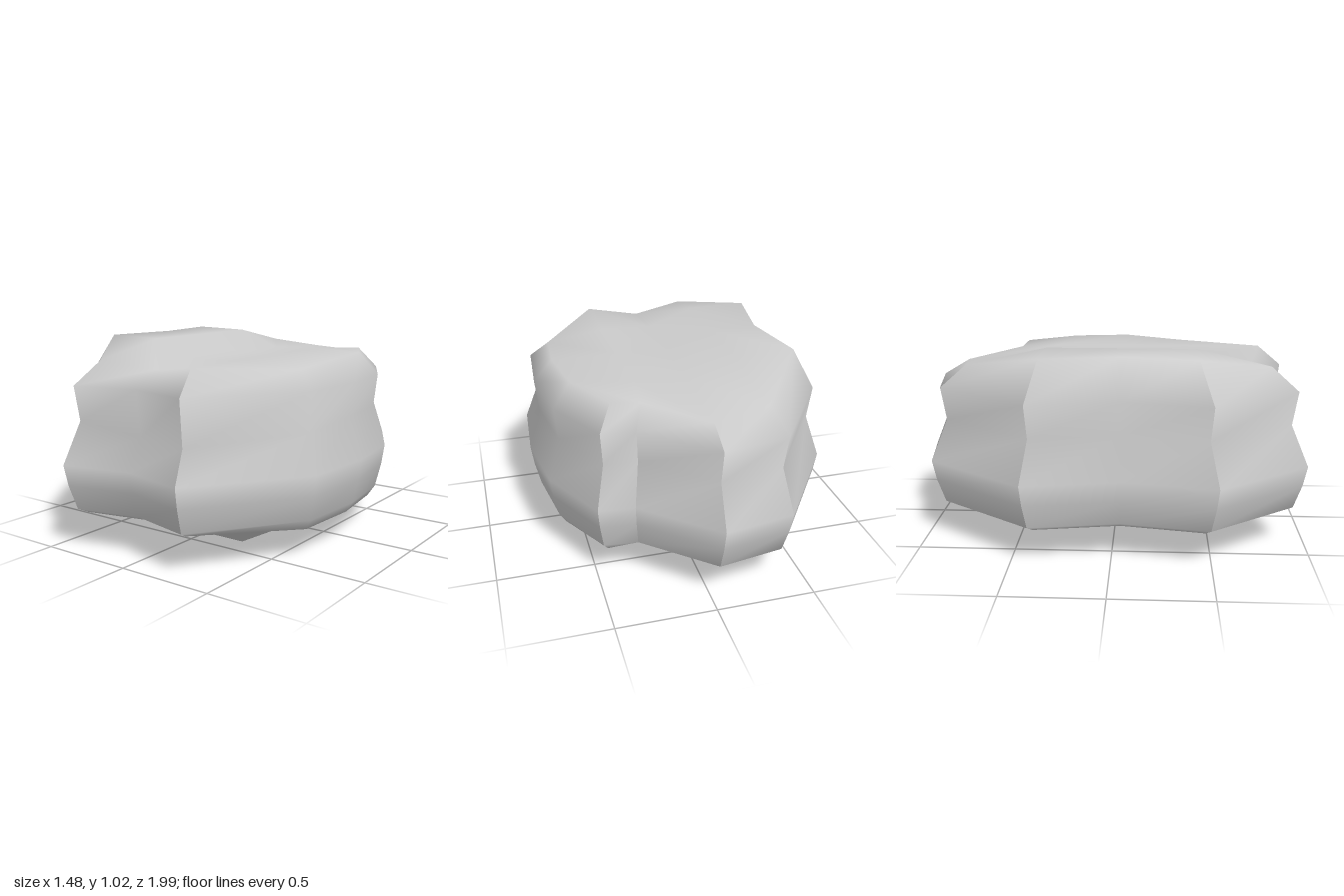
import * as THREE from 'three';

// Outline columns, clockwise from the back: x, z, waist height, rim height, underside drop, sharp corner
const COLUMNS = [
  [-0.03, -1.0, 0.65, 0.90, 0, 1],
  [0.32, -0.69, 0.65, 0.92, 0, 1],
  [0.50, -0.67, 0.65, 0.93, 0.02, 1],
  [0.68, -0.33, 0.65, 0.935, 0.03, 0],
  [0.735, 0.05, 0.65, 0.935, 0.03, 0],
  [0.71, 0.45, 0.62, 0.91, 0.03, 0],
  [0.32, 0.99, 0.59, 0.935, 0, 1],
  [-0.03, 0.91, 0.59, 0.90, 0, 0],
  [-0.39, 0.99, 0.645, 0.935, 0, 1],
  [-0.74, 0.52, 0.65, 1.02, 0, 1],
  [-0.66, 0.05, 0.65, 1.02, 0, 0],
  [-0.74, -0.43, 0.65, 1.02, 0, 1],
  [-0.385, -0.94, 0.65, 0.93, 0, 1],
];

// Rings from the underside to the top rim: scale and height per column
const RINGS = [
  [0.67, c => 0.145 - c[4]],
  [0.89, c => 0.18 - c[4]],
  [0.94, () => 0.205],
  [0.98, () => 0.33],
  [1.0, () => 0.435],
  [0.91, c => c[2]],
  [0.935, () => 0.82],
  [0.80, c => c[3]],
];
const FIRST_SHARP = 2, LAST_SHARP = 6;

function stoneGeometry() {
  const pos = [], index = [];
  const add = (x, y, z) => pos.push(x, y, z) / 3 - 1;
  const tri = (a, b, c) => { if (a !== b && b !== c && a !== c) index.push(a, b, c); };
  const quad = (a, b, c, d) => { tri(a, b, c); tri(a, c, d); };

  // Each ring vertex is doubled at sharp corners so the wall panels stay crisp
  const rings = RINGS.map(([s, height], level) => COLUMNS.map(c => {
    const p = [c[0] * s, height(c), c[1] * s];
    const before = add(...p);
    const split = c[5] && level >= FIRST_SHARP && level <= LAST_SHARP;
    return [before, split ? add(...p) : before];
  }));

  // Wall bands
  const n = COLUMNS.length;
  for (let l = 0; l < rings.length - 1; l++) {
    for (let i = 0; i < n; i++) {
      const j = (i + 1) % n;
      quad(rings[l][j][0], rings[l][i][1], rings[l + 1][i][1], rings[l + 1][j][0]);
    }
  }

  // Top and underside: a 3 x 3 patch joined to the ring, with cut corners
  const cap = (ring, heights, zs, up) => {
    const xs = [-0.28, -0.03, 0.24];
    const g = zs.map(z => xs.map((x, c) => add(x, heights[c], z)));
    const r = ring.map(v => v[0]);
    const grid = [
      [r[12], r[12], r[0], r[1], r[2]],
      [r[11], ...g[0], r[3]],
      [r[10], ...g[1], r[4]],
      [r[9], ...g[2], r[5]],
      [r[8], r[8], r[7], r[6], r[6]],
    ];
    for (let i = 0; i < 4; i++) {
      for (let k = 0; k < 4; k++) {
        const q = [grid[i][k], grid[i + 1][k], grid[i + 1][k + 1], grid[i][k + 1]];
        quad(...(up ? q : q.reverse()));
      }
    }
  };
  cap(rings[rings.length - 1], [1.015, 0.925, 0.935], [-0.34, 0.03, 0.42], true);
  cap(rings[0], [0.11, 0, 0], [-0.30, 0.03, 0.38], false);

  const geometry = new THREE.BufferGeometry();
  geometry.setAttribute('position', new THREE.Float32BufferAttribute(pos, 3));
  geometry.setIndex(index);
  geometry.computeVertexNormals();
  return geometry;
}

export function createModel() {
  const group = new THREE.Group();
  group.name = 'rock';
  const stone = new THREE.Mesh(stoneGeometry(), new THREE.MeshStandardMaterial({ color: 0xcccccc }));
  stone.name = 'stone';
  group.add(stone);
  return group;
}
